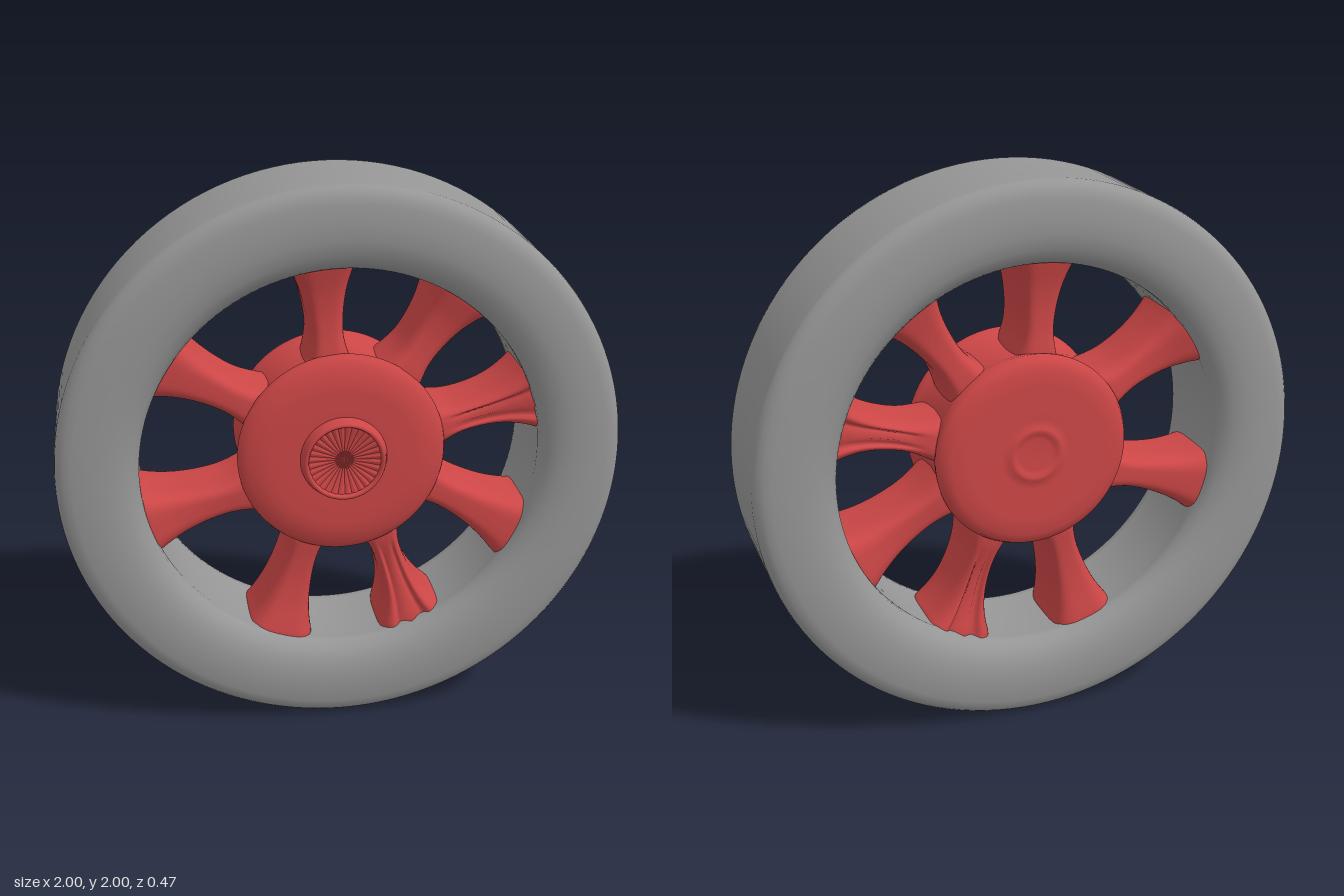
import * as THREE from 'three';

const grey = new THREE.MeshStandardMaterial({ color: 0x969696 });
const red = new THREE.MeshStandardMaterial({ color: 0xcc4646 });
const HUB_Y = 1.03;

function add(group, name, geometry, material, y = 0) {
  const mesh = new THREE.Mesh(geometry, material);
  mesh.name = name;
  mesh.position.y = y;
  group.add(mesh);
  return mesh;
}

// Turns a profile of [radius, z] points around the z axis
function turned(profile, segments = 96) {
  const points = profile.map(([r, z]) => new THREE.Vector2(r, z));
  return new THREE.LatheGeometry(points, segments).rotateX(Math.PI / 2);
}

// Half-sizes of a spoke along its length: [fraction, half width, half depth]
const stations = [
  [-0.3, 0.1, 0.15], [0, 0.07, 0.143], [0.2, 0.06, 0.135], [0.45, 0.066, 0.132],
  [0.7, 0.082, 0.14], [0.9, 0.104, 0.155], [1, 0.119, 0.163], [1.12, 0.13, 0.168],
];

// Lofts a flared spoke from a to b; grooved ones are slimmer, with two creases along each face
function spokeGeometry(a, b, grooved) {
  const start = new THREE.Vector2(...a);
  const along = new THREE.Vector2(...b).sub(start);
  const side = new THREE.Vector2(along.y, -along.x).normalize();
  const curve = new THREE.CatmullRomCurve3(stations.map((s) => new THREE.Vector3(...s)));
  const rings = 24, around = 64, positions = [], index = [];
  const power = (v) => Math.sign(v) * Math.abs(v) ** 0.5;
  for (let i = 0; i <= rings; i++) {
    const s = curve.getPoint(i / rings);
    const fade = grooved ? THREE.MathUtils.smoothstep(s.x, 0, 0.4) : 0;
    const width = grooved ? s.y * (1 - 0.18 * Math.sin(Math.PI * THREE.MathUtils.clamp(s.x, 0, 1))) : s.y;
    for (let j = 0; j < around; j++) {
      const t = (j / around) * Math.PI * 2;
      const u = power(Math.cos(t));
      let z = power(Math.sin(t)) * s.z;
      for (const c of [-0.35, 0.3]) z *= 1 - 0.2 * fade * Math.exp(-(((u - c) / 0.16) ** 2));
      positions.push(
        start.x + along.x * s.x + side.x * u * width,
        start.y + along.y * s.x + side.y * u * width,
        z,
      );
      if (i < rings) {
        const p = i * around + j, q = i * around + ((j + 1) % around);
        index.push(p, p + around, q, q, p + around, q + around);
      }
    }
  }
  const geometry = new THREE.BufferGeometry();
  geometry.setAttribute('position', new THREE.Float32BufferAttribute(positions, 3));
  geometry.setIndex(index);
  geometry.computeVertexNormals();
  return geometry;
}

// Dished disc with crisp radial flutes
function flutedDisc(radius, flutes) {
  const columns = flutes * 2;
  const ring = new THREE.RingGeometry(0.002, radius, columns, 4);
  const p = ring.attributes.position;
  for (let i = 0; i < p.count; i++) {
    const r = Math.hypot(p.getX(i), p.getY(i)) / radius;
    const ridge = (i % (columns + 1)) % 2;
    p.setZ(i, 0.012 * r * r + ridge * 0.004 * r);
  }
  const geometry = ring.toNonIndexed();
  geometry.computeVertexNormals();
  return geometry;
}

export function createModel() {
  const wheel = new THREE.Group();
  wheel.name = 'wheel';

  // Tyre with rounded shoulders and a plain bore
  const half = [
    [1, 0.1], [1, 0.175], [0.997, 0.19], [0.985, 0.206], [0.967, 0.219], [0.94, 0.227], [0.88, 0.235],
    [0.82, 0.233], [0.77, 0.222], [0.733, 0.2], [0.712, 0.17], [0.712, 0.14], [0.718, 0.11],
  ];
  const mirrored = half.map(([r, z]) => [r, -z]).reverse();
  add(wheel, 'tire', turned([[0.718, 0], ...mirrored, ...half, [0.718, 0]], 128), grey, 1);

  // Hub drum with a bossed back and rounded front
  add(wheel, 'hub', turned([
    [0, -0.195], [0.06, -0.196], [0.075, -0.2], [0.085, -0.206], [0.098, -0.205], [0.108, -0.198],
    [0.13, -0.196], [0.25, -0.2], [0.31, -0.196], [0.345, -0.18], [0.357, -0.155], [0.352, -0.13],
    [0.34, -0.09], [0.335, 0], [0.342, 0.09], [0.36, 0.12], [0.37, 0.14], [0.363, 0.158],
    [0.335, 0.175], [0.29, 0.187], [0.25, 0.19], [0.16, 0.19], [0, 0.19],
  ]), red, HUB_Y);

  // Raised collar and fluted centre cap
  add(wheel, 'capRing', turned([
    [0.158, 0.18], [0.152, 0.195], [0.147, 0.215], [0.143, 0.226], [0.137, 0.231],
    [0.131, 0.228], [0.127, 0.218], [0.125, 0.195],
  ]), red, HUB_Y);
  add(wheel, 'centerCap', flutedDisc(0.128, 32), red, HUB_Y).position.z = 0.203;

  // Eight unevenly set spokes, two of them creased
  const spokes = [
    [[-0.04, 1.39], [-0.06, 1.71]],
    [[0.24, 1.32], [0.42, 1.57]],
    [[0.36, 1.1], [0.69, 1.18], true],
    [[0.32, 0.87], [0.63, 0.68]],
    [[0.15, 0.69], [0.26, 0.35], true],
    [[-0.12, 0.69], [-0.22, 0.33]],
    [[-0.34, 0.88], [-0.68, 0.79]],
    [[-0.32, 1.21], [-0.61, 1.37]],
  ];
  spokes.forEach(([a, b, grooved], i) => add(wheel, `spoke${i + 1}`, spokeGeometry(a, b, grooved), red));

  return wheel;
}
